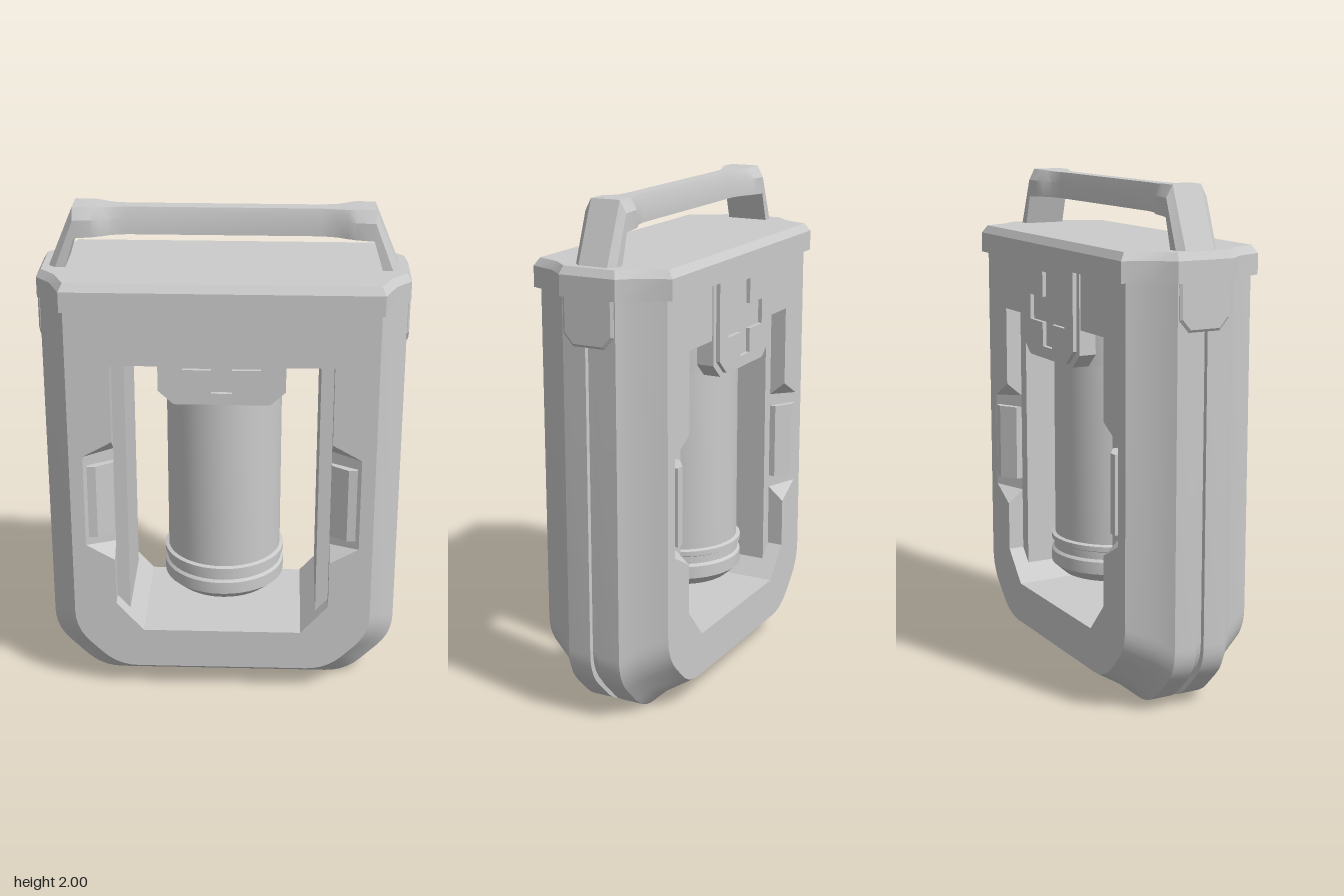
import * as THREE from 'three';
import { toCreasedNormals } from 'three/addons/utils/BufferGeometryUtils.js';

const material = new THREE.MeshStandardMaterial({ color: 0xcccccc, side: THREE.DoubleSide });
const V2 = (x, y) => new THREE.Vector2(x, y);

function add(parent, name, geometry) {
  const mesh = new THREE.Mesh(geometry, material);
  mesh.name = name;
  parent.add(mesh);
  return mesh;
}

// Skin a list of rings that all have the same number of points
function loft(rings, closed) {
  const n = rings[0].length, index = [];
  for (let i = 0; i < rings.length - 1; i++) {
    for (let j = 0; j < (closed ? n : n - 1); j++) {
      const k = (j + 1) % n;
      const a = i * n + j, b = a + n, c = (i + 1) * n + k, d = i * n + k;
      index.push(a, b, d, b, c, d);
    }
  }
  const g = new THREE.BufferGeometry();
  g.setAttribute('position', new THREE.Float32BufferAttribute(rings.flat(2), 3));
  g.setIndex(index);
  return toCreasedNormals(g, 0.5);
}

function extrude(points, depth, hole) {
  const shape = new THREE.Shape(points);
  if (hole) shape.holes.push(new THREE.Path(hole));
  return new THREE.ExtrudeGeometry(shape, { depth, bevelEnabled: false });
}

// Mirror half an outline in x, keeping the order of points
const mirrored = half => [...half, ...half.slice().reverse().map(p => V2(-p.x, p.y))];

// U outline with softened, chamfered lower corners
function bodyOutline(w, base, c, r) {
  const s = r * Math.SQRT1_2;
  const arc = (a, b, d) => new THREE.QuadraticBezierCurve(a, b, d).getPoints(5);
  return mirrored([
    V2(w, 1.67),
    ...arc(V2(w, base + c + r), V2(w, base + c), V2(w - s, base + c - s)),
    ...arc(V2(w - c + s, base + s), V2(w - c, base), V2(w - c - r, base)),
  ]);
}

function buildBody() {
  const body = new THREE.Group();
  body.name = 'body';

  // Outer shell with sloped shoulders and a thin centre groove: [z, half width, base, chamfer]
  const half = [[0.265, 0.6, 0.105, 0.17], [0.16, 0.655, 0.045, 0.18], [0.11, 0.705, 0, 0.19],
    [0.016, 0.705, 0, 0.19], [0.014, 0.688, 0.017, 0.185]];
  const levels = [...half.map(([z, ...r]) => [-z, ...r]), ...half.slice().reverse()];
  add(body, 'outerShell', loft(levels.map(([z, w, b, c]) =>
    bodyOutline(w, b, c, 0.085).map(p => [p.x, p.y, z])), false));

  // Inner frame, with a narrower window in the middle of its depth
  const outline = bodyOutline(0.6, 0.105, 0.17, 0.085);
  const core = mirrored([V2(0.38, 1.44), V2(0.38, 0.343), V2(0.32, 0.275)]);
  add(body, 'windowLining', extrude(outline, 0.4, core)).position.z = -0.2;
  const opening = mirrored([V2(0.43, 1.44), V2(0.43, 1.12), V2(0.545, 1.055),
    V2(0.545, 0.665), V2(0.43, 0.6), V2(0.43, 0.4), V2(0.32, 0.275)]);
  for (const [name, z] of [['frontFrame', 0.2], ['backFrame', -0.265]]) {
    add(body, name, extrude(outline, 0.065, opening)).position.z = z;
  }
  return body;
}

// Sloped notch in the window edge, holding a raised grip
function buildGrip() {
  const grip = new THREE.Group();
  grip.name = 'sideGrip';
  const A = [0.43, 0.26, 0.265], B = [0.545, 0.195, 0.265], C = [0.545, -0.195, 0.265];
  const D = [0.43, -0.26, 0.265], E = [0.43, 0.205, 0.2], F = [0.43, -0.205, 0.2];
  const G = [0.43, 0.26, 0.2], H = [0.43, -0.26, 0.2];
  const faces = [B, E, F, B, F, C, A, E, B, D, C, F, A, G, E, D, F, H];
  const g = new THREE.BufferGeometry();
  g.setAttribute('position', new THREE.Float32BufferAttribute(faces.flat(), 3));
  g.computeVertexNormals();
  add(grip, 'notch', g);
  const pad = extrude([V2(0.43, 0.18), V2(0.53, 0.18), V2(0.53, 0.27),
    V2(0.495, 0.27), V2(0.43, 0.225)], 0.31);
  pad.rotateX(Math.PI / 2);
  add(grip, 'gripPad', pad).position.y = 0.155;
  return grip;
}

function buildLid() {
  const quarter = [[0.715, 0.115], [0.655, 0.18], [0.61, 0.29]];
  const rev = quarter.slice().reverse();
  const outline = [...quarter, ...rev.map(([x, z]) => [-x, z]),
    ...quarter.map(([x, z]) => [-x, -z]), ...rev.map(([x, z]) => [x, -z])];
  const ring = (y, sx, sz) => outline.map(([x, z]) => [x * sx, y, z * sz]);
  return loft([ring(1.66, 0, 0), ring(1.66, 1, 1), ring(1.74, 1, 1),
    ring(1.77, 0.975, 0.93), ring(1.77, 0, 0)], true);
}

// Carry handle: [outer x, outer y, inner x, inner y, half depth]
function buildHandle() {
  const half = [[0.675, 1.76, 0.608, 1.76, 0.085], [0.575, 2, 0.57, 1.885, 0.085],
    [0.5, 2, 0.5, 1.89, 0.085], [0.47, 1.998, 0.47, 1.89, 0.073], [0.43, 1.995, 0.43, 1.89, 0.052],
    [0.37, 1.995, 0.37, 1.89, 0.04]];
  const stations = [...half.map(([a, b, c, d, z]) => [-a, b, -c, d, z]), ...half.slice().reverse()];
  return loft(stations.map(([ox, oy, ix, iy, hz]) => {
    const at = (t, z) => [ix + (ox - ix) * t, iy + (oy - iy) * t, z];
    return [at(0, -hz), at(0, hz), at(0.6, hz), at(1, hz * 0.7), at(1, -hz * 0.7), at(0.6, -hz)];
  }), true);
}

// Front plate with a recessed plus shape
function buildPlate() {
  const plate = new THREE.Group();
  plate.name = 'latchPlate';
  const tab = (w, base) => mirrored([V2(w, 1.67), V2(w, base + 0.055), V2(w - 0.06, base)]);
  add(plate, 'plateBacking', extrude(tab(0.245, 1.287), 0.07)).position.z = 0.2;
  const plus = mirrored([V2(0.04, 1.635), V2(0.04, 1.535), V2(0.15, 1.535),
    V2(0.15, 1.435), V2(0.04, 1.435), V2(0.04, 1.34)]);
  add(plate, 'plateFace', extrude(tab(0.222, 1.3), 0.02, plus)).position.z = 0.266;
  return plate;
}

export function createModel() {
  const model = new THREE.Group();
  model.add(buildBody());

  // Grips on both sides of the window, front and back
  for (const axis of [null, 'x', 'y', 'z']) {
    const grip = buildGrip();
    grip.position.y = 0.86;
    if (axis) grip.rotation[axis] = Math.PI;
    model.add(grip);
  }

  // Canister hanging in the window
  const profile = [[0, 0.4], [0.2, 0.4], [0.245, 0.44], [0.245, 0.49], [0.235, 0.5], [0.235, 0.53],
    [0.245, 0.535], [0.245, 0.555], [0.23, 0.56], [0.23, 1.285], [0.245, 1.285], [0.245, 1.45]];
  add(model, 'canister', toCreasedNormals(
    new THREE.LatheGeometry(profile.map(p => V2(...p)), 40), 0.4));

  add(model, 'lid', buildLid());
  add(model, 'handle', buildHandle());

  for (const turn of [0, Math.PI]) {
    const plate = buildPlate();
    plate.rotation.y = turn;
    model.add(plate);

    // Clasp hanging from the lid on each end
    const shape = new THREE.Shape(mirrored([V2(0.095, 1.67), V2(0.095, 1.53), V2(0.06, 1.49)]));
    const clasp = new THREE.ExtrudeGeometry(shape,
      { depth: 0.02, bevelSize: 0.01, bevelThickness: 0.007, bevelSegments: 1 });
    clasp.translate(0, 0, 0.688).rotateY(Math.PI / 2);
    add(model, 'sideClasp', clasp).rotation.y = turn;
  }
  return model;
}
